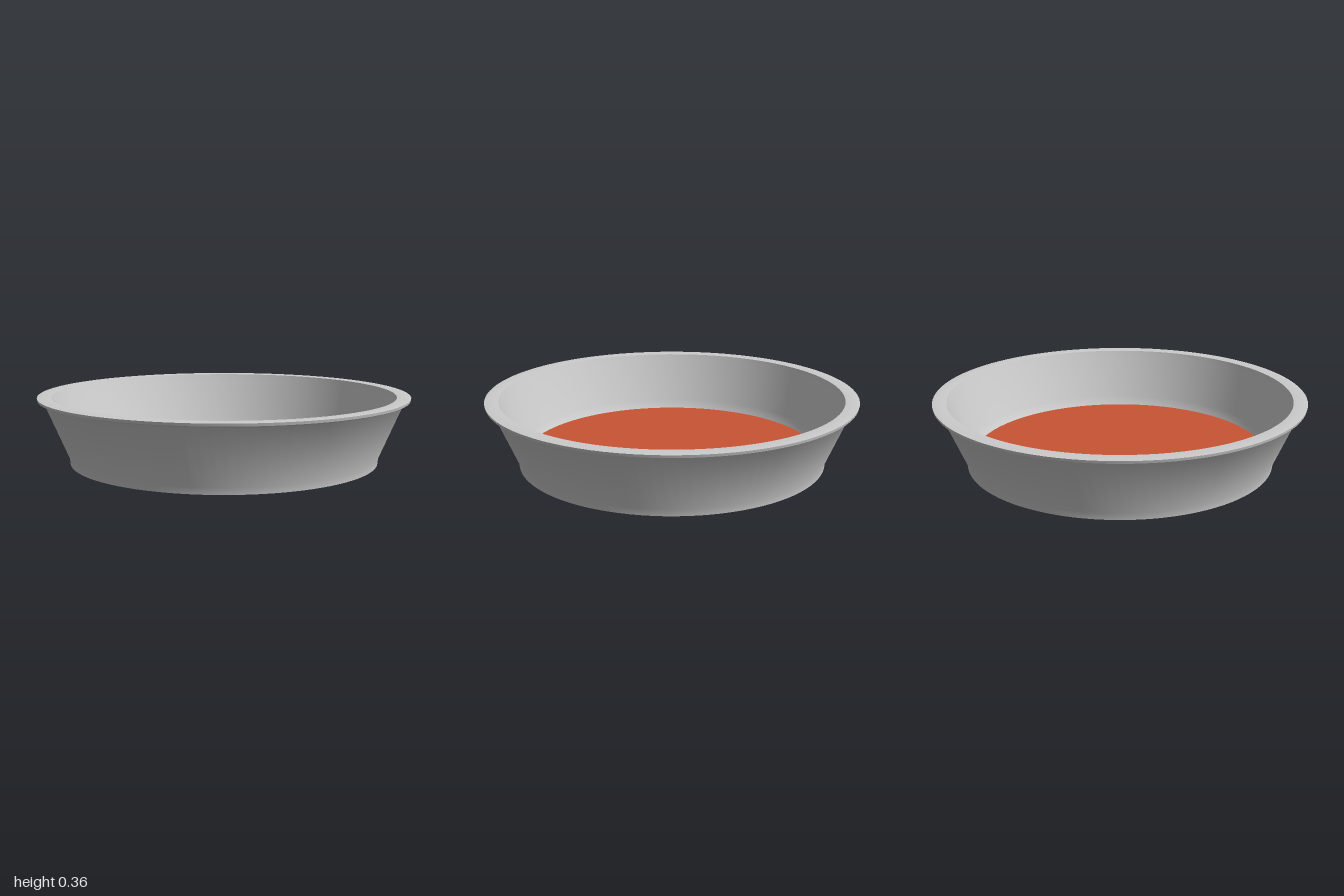
import * as THREE from 'three';
import { toCreasedNormals } from 'three/addons/utils/BufferGeometryUtils.js';

const SEGMENTS = 96;

export function createModel() {
  const model = new THREE.Group();
  model.name = 'dish';
  const grey = new THREE.MeshStandardMaterial({ color: 0xcccccc });
  const orange = new THREE.MeshStandardMaterial({ color: 0xc85434 });

  const add = (name, geometry, material) => {
    const mesh = new THREE.Mesh(geometry, material);
    mesh.name = name;
    model.add(mesh);
    return mesh;
  };

  // Wall profile: up the outside, over the rim, down the inside
  const profile = [
    [0.835, 0], [0.838, 0.035], [0.963, 0.332], [0.972, 0.34],
    [0.997, 0.346], [1, 0.36], [0.97, 0.363], [0.926, 0.36],
    [0.918, 0.335], [0.828, 0.085], [0.817, 0.058], [0.805, 0.038],
  ].map(([x, y]) => new THREE.Vector2(x, y));
  const wall = new THREE.LatheGeometry(profile, SEGMENTS);
  add('wallAndRim', toCreasedNormals(wall, THREE.MathUtils.degToRad(40)), grey);

  // Flat underside
  const underside = new THREE.CircleGeometry(0.835, SEGMENTS);
  add('underside', underside.rotateX(Math.PI / 2), grey);

  // Coloured inner floor
  const floor = new THREE.CircleGeometry(0.805, SEGMENTS).rotateX(-Math.PI / 2);
  add('innerFloor', floor, orange).position.y = 0.038;

  return model;
}
